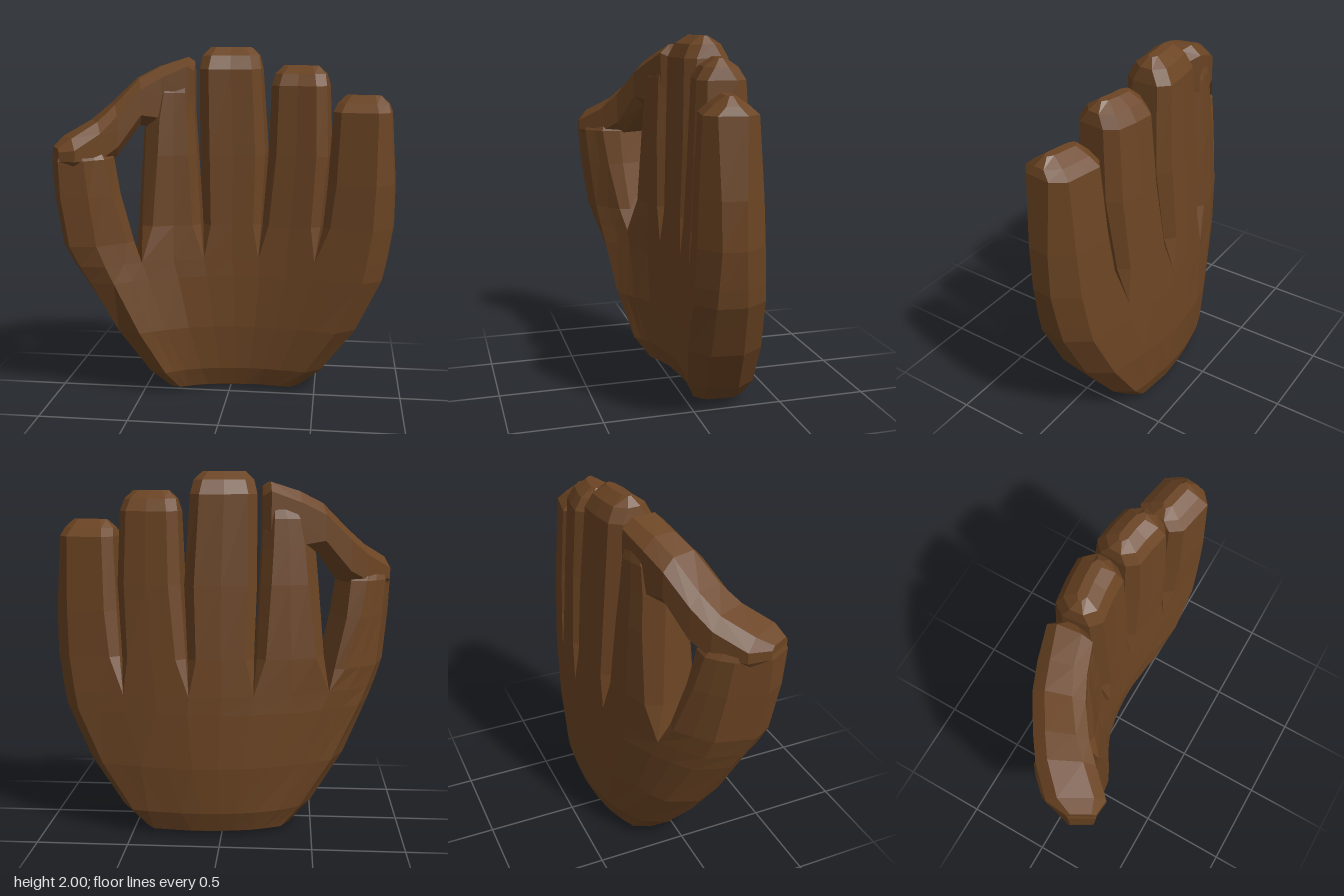
import * as THREE from 'three';

const leather = new THREE.MeshStandardMaterial({ color: 0x6b4423 });
leather.name = 'brown leather';

// Centre line of the cupped glove, seen from above: [x, z]
const cup = [[-1.1, 0.49], [-0.93, 0.31], [-0.78, 0.135], [-0.65, 0.025], [-0.5, -0.07], [-0.3, -0.145],
  [0, -0.19], [0.17, -0.2], [0.4, -0.175], [0.6, -0.13], [0.93, -0.07], [1.1, -0.03]];

function centreZ(x) {
  let i = 1;
  while (i < cup.length - 1 && x > cup[i][0]) i++;
  const [x0, z0] = cup[i - 1], [x1, z1] = cup[i];
  return z0 + (z1 - z0) * (x - x0) / (x1 - x0);
}

// Forward shift: the heel under the thumb is cupped more, the fingers lean slightly
function lean(x, y) {
  const heel = THREE.MathUtils.smoothstep(-x, 0.1, 0.55) * Math.max(0, 1 - y / 0.95);
  return 0.1 * heel + 0.02 * Math.max(0, y - 0.9);
}

// Point at depth d in front of the centre line, leaning with its normal
function bend(x, y, d) {
  const slope = (centreZ(x + 0.08) - centreZ(x - 0.08)) / 0.16;
  const n = Math.hypot(1, slope);
  return new THREE.Vector3(x - 0.6 * slope / n * d, y, centreZ(x) + lean(x, y) + d * (0.4 + 0.6 / n));
}

// Bevelled slab section from a to b, half thickness h: list of [u, depth]
function section(a, b, h, bevelA, bevelB, mids = [0.5]) {
  const s = Math.sign(b - a);
  const side = (v) => Math.max(h * 0.35, h - 1.1 * v);
  const a1 = a + s * bevelA, b1 = b - s * bevelB;
  const row = [0, ...mids, 1].map((f) => a1 + (b1 - a1) * f);
  return [
    ...row.map((u) => [u, h]), [b, side(bevelB)], [b, -side(bevelB)],
    ...row.reverse().map((u) => [u, -h]), [a, -side(bevelA)], [a, side(bevelA)],
  ];
}

// Closed, faceted skin over a list of rings
function loft(name, rings) {
  const pos = [];
  const quad = (a, b, c, d) => [a, b, c, a, c, d].forEach((v) => pos.push(v.x, v.y, v.z));
  const n = rings[0].length;
  for (let r = 0; r < rings.length - 1; r++) {
    for (let i = 0; i < n; i++) {
      const j = (i + 1) % n, A = rings[r], B = rings[r + 1];
      quad(A[i], A[j], B[j], B[i]);
    }
  }
  // End caps as strips between the front and back rows
  const first = rings[0], last = rings[rings.length - 1];
  const m = (n - 4) / 2;
  for (let k = -1; k < m; k++) {
    const f0 = (k + n) % n, f1 = k + 1, b0 = 2 * m + 1 - k, b1 = b0 - 1;
    quad(first[f0], first[b0], first[b1], first[f1]);
    quad(last[f0], last[f1], last[b1], last[b0]);
  }
  const geometry = new THREE.BufferGeometry();
  geometry.setAttribute('position', new THREE.Float32BufferAttribute(pos, 3));
  geometry.computeVertexNormals();
  const mesh = new THREE.Mesh(geometry, leather);
  mesh.name = name;
  return mesh;
}

// Upright part from rows of [y, left x, right x, half thickness, left bevel, right bevel]
const upright = (name, rows, mids) => loft(name, rows.map(([y, ...s]) =>
  section(...s, mids).map(([x, d]) => bend(x, y, d))));

// Adds the rounded tip to a finger
function finger(name, rows, top) {
  const [, l, r, , bl, br] = rows[rows.length - 1];
  return upright(name, [...rows,
    [top - 0.045, l + 0.015, r - 0.015, 0.09, bl, br],
    [top, l + 0.06, r - 0.06, 0.025, 0.03, 0.03]]);
}

export function createModel() {
  const glove = new THREE.Group();
  glove.name = 'glove';

  // Palm, with columns that meet the finger roots
  const columns = [-0.635, -0.535, -0.3475, -0.16, 0.005, 0.17, 0.3425, 0.515, 0.6575].map((x) => (x + 0.735) / 1.535);
  glove.add(upright('palm', [
    [0, -0.27, 0.37, 0.08, 0.03, 0.03],
    [0.025, -0.36, 0.42, 0.14, 0.05, 0.05],
    [0.14, -0.475, 0.55, 0.182, 0.08, 0.08],
    [0.4, -0.65, 0.74, 0.197, 0.1, 0.1],
    [0.7, -0.79, 0.88, 0.188, 0.1, 0.1],
    [0.8, -0.835, 0.9, 0.183, 0.1, 0.1],
  ], columns));

  // Fingers; the index continues up inside the web
  glove.add(upright('indexFinger', [
    [0.8, -0.535, -0.16, 0.183, 0, 0],
    [1.0, -0.525, -0.18, 0.172, 0.055, 0.045],
    [1.4, -0.5, -0.2, 0.155, 0.07, 0.05],
    [1.6, -0.485, -0.21, 0.14, 0.07, 0.05],
    [1.75, -0.46, -0.215, 0.13, 0.07, 0.05],
    [1.86, -0.39, -0.215, 0.1, 0.05, 0.05],
    [1.92, -0.3, -0.22, 0.04, 0.02, 0.02],
  ]));
  glove.add(finger('middleFinger', [
    [0.8, -0.16, 0.17, 0.183, 0, 0],
    [1.0, -0.165, 0.18, 0.172, 0.045, 0.045],
    [1.4, -0.18, 0.2, 0.152, 0.055, 0.055],
    [1.88, -0.18, 0.17, 0.128, 0.05, 0.05],
  ], 2));
  glove.add(finger('ringFinger', [
    [0.8, 0.17, 0.515, 0.183, 0, 0],
    [1.0, 0.19, 0.535, 0.172, 0.045, 0.045],
    [1.4, 0.22, 0.565, 0.152, 0.055, 0.055],
    [1.79, 0.235, 0.55, 0.13, 0.05, 0.05],
  ], 1.9));
  glove.add(finger('littleFinger', [
    [0.8, 0.515, 0.9, 0.183, 0, 0.1],
    [1.0, 0.55, 0.93, 0.172, 0.045, 0.1],
    [1.25, 0.57, 0.93, 0.163, 0.055, 0.09],
    [1.65, 0.59, 0.9, 0.14, 0.05, 0.06],
  ], 1.74));

  // Thumb
  glove.add(upright('thumb', [
    [0.8, -0.835, -0.535, 0.183, 0.1, 0],
    [0.92, -0.88, -0.575, 0.18, 0.1, 0.04],
    [1.2, -0.91, -0.64, 0.178, 0.1, 0.05],
    [1.4, -0.915, -0.665, 0.175, 0.09, 0.06],
    [1.48, -0.9, -0.7, 0.13, 0.06, 0.05],
  ]));

  // Web from thumb tip to index fingertip: [x, top y, bottom y, half thickness, bevel]
  glove.add(loft('web', [
    [-0.91, 1.47, 1.38, 0.08, 0.02],
    [-0.86, 1.52, 1.34, 0.165, 0.06],
    [-0.74, 1.6, 1.34, 0.16, 0.06],
    [-0.65, 1.69, 1.4, 0.145, 0.06],
    [-0.52, 1.83, 1.57, 0.135, 0.06],
    [-0.4, 1.895, 1.55, 0.126, 0.06],
    [-0.25, 1.945, 1.5, 0.12, 0.05],
    [-0.21, 1.92, 1.52, 0.075, 0.05],
  ].map(([x, top, low, h, b]) => section(top, low, h, b, b).map(([y, d]) => bend(x, y, d)))));

  return glove;
}
